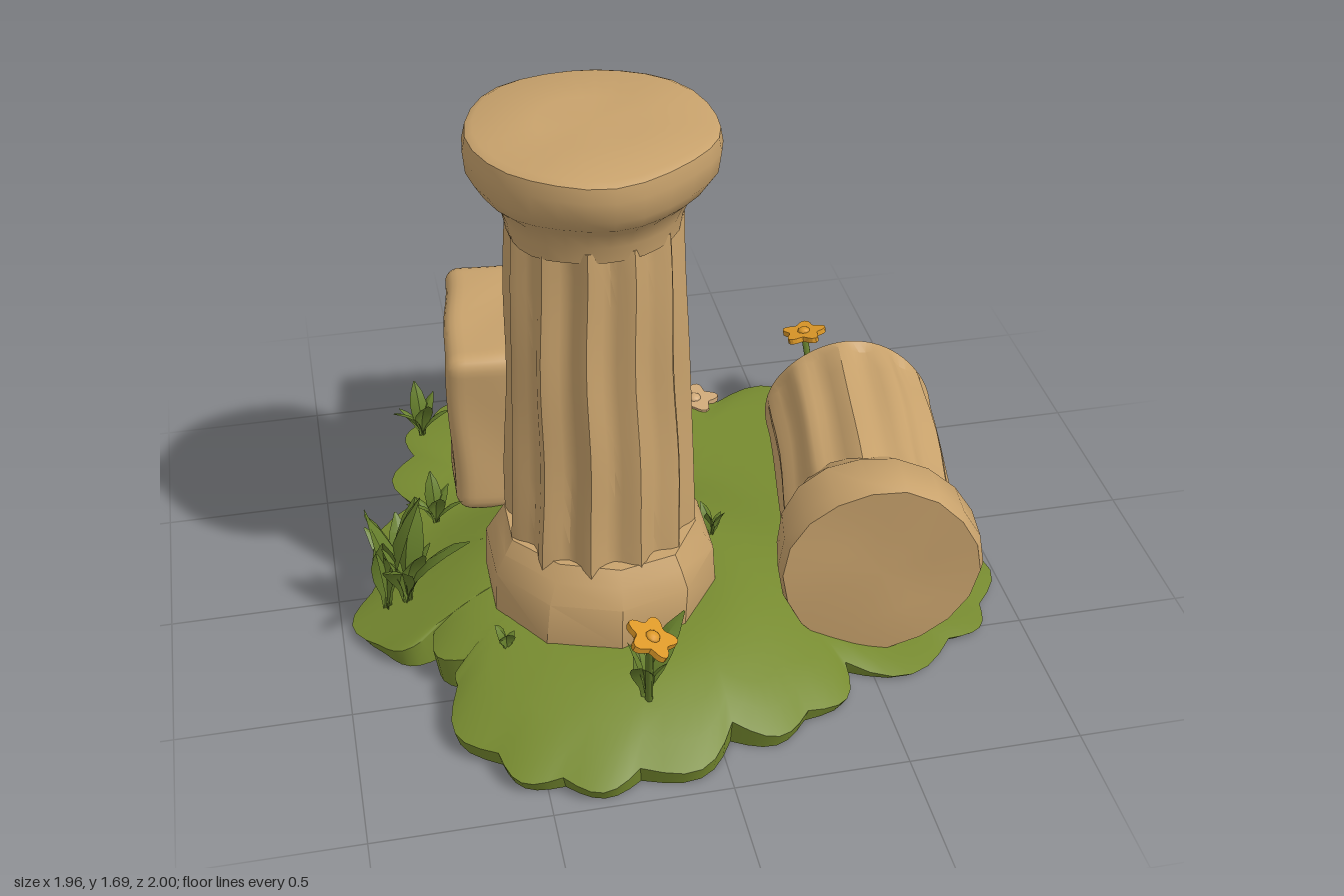
import * as THREE from 'three';
import { mergeGeometries, toCreasedNormals } from 'three/addons/utils/BufferGeometryUtils.js';

const mat = (name, color, side = THREE.FrontSide) => {
  const m = new THREE.MeshStandardMaterial({ color, side });
  m.name = name;
  return m;
};

const smooth = (a, b, v) => {
  const t = Math.min(1, Math.max(0, (v - a) / (b - a)));
  return t * t * (3 - 2 * t);
};

// Mound height: highest under the standing column
const groundY = (x, z) => 0.045 + 0.16 * (1 - smooth(0.3, 0.85, Math.hypot(x + 0.2, z - 0.3)));

// Run a rule over every vertex
function reshape(geo, rule) {
  const p = geo.attributes.position, v = new THREE.Vector3();
  for (let i = 0; i < p.count; i++) {
    rule(v.fromBufferAttribute(p, i));
    p.setXYZ(i, v.x, v.y, v.z);
  }
  return geo;
}

// Worn, hand-carved unevenness
const wobble = (v, amp, k) => {
  const { x, y, z } = v;
  v.x += amp * (Math.sin(9 * y + 7 * z + k) + 0.6 * Math.sin(17 * z - 11 * y + k));
  v.y += amp * (Math.sin(8 * x - 9 * z + 2 * k) + 0.5 * Math.sin(15 * x + 13 * z));
  v.z += amp * (Math.sin(8 * y - 9 * x + 3 * k) + 0.6 * Math.sin(16 * x + 10 * y + k));
};

function mesh(name, geo, material) {
  const m = new THREE.Mesh(geo, material);
  m.name = name;
  return m;
}

// Turned stone: flutes are carved between heights y0 and y1
function turned(name, profile, material, { sides = 72, flutes = 0, depth = 0, y0 = 0, y1 = 0, amp = 0.004, k = 0 }) {
  const geo = new THREE.LatheGeometry(profile.map(([r, y]) => new THREE.Vector2(r, y)), sides);
  reshape(geo, v => {
    if (flutes && v.y > y0 && v.y < y1) {
      const a = Math.atan2(v.x, v.z);
      const s = 1 - depth * Math.pow(0.5 + 0.5 * Math.cos(flutes * a), 0.8);
      v.x *= s;
      v.z *= s;
    }
    wobble(v, amp, k);
  });
  geo.deleteAttribute('uv');
  return mesh(name, toCreasedNormals(geo, 0.6), material);
}

// Scalloped grassy mound, rings from the top centre round to the underside centre
function ground(material) {
  const notches = [[-0.17, -0.93], [0.06, -0.91], [0.2, -0.85], [0.36, -0.78], [0.68, -0.74], [0.81, -0.4],
    [0.92, -0.11], [0.91, 0.12], [0.9, 0.42], [0.76, 0.55], [0.42, 0.62], [0.26, 0.8], [0.03, 0.84],
    [-0.25, 0.94], [-0.46, 0.92], [-0.62, 0.8], [-0.7, 0.55], [-0.66, 0.48], [-0.74, 0.32], [-0.9, 0.27],
    [-0.9, 0.01], [-0.8, -0.04], [-0.73, -0.42], [-0.7, -0.68], [-0.62, -0.88], [-0.45, -0.94]];
  const rim = [];
  notches.forEach(([x, z], i) => {
    const [x2, z2] = notches[(i + 1) % notches.length], dx = x2 - x, dz = z2 - z;
    for (let j = 0; j < 6; j++) {
      const t = j / 6, b = 0.27 * Math.sin(Math.PI * t);
      rim.push([x + dx * t + dz * b, z + dz * t - dx * b]);
    }
  });
  const pos = [], idx = [], n = rim.length, rows = 14;
  for (let r = 0; r <= rows; r++) {
    const s = r <= 12 ? r / 12 : r === 13 ? 0.98 : 0;
    for (const [x, z] of rim) {
      const y = r > 12 ? 0.015 : groundY(x * s, z * s) - (r === 12 ? 0.015 : 0);
      pos.push(x * s, y, z * s);
    }
  }
  for (let r = 0; r < rows; r++) for (let i = 0; i < n; i++) {
    const a = r * n + i, b = r * n + (i + 1) % n, c = b + n, d = a + n;
    if (r > 0) idx.push(a, b, c);
    if (r < rows - 1) idx.push(a, c, d);
  }
  const geo = new THREE.BufferGeometry();
  geo.setAttribute('position', new THREE.Float32BufferAttribute(pos, 3));
  geo.setIndex(idx);
  return mesh('grassMound', toCreasedNormals(geo, 0.7), material);
}

// Rounded block with a sunken panel and round boss on both x sides
function block(material) {
  const h = 0.29, rad = 0.05, inner = h - rad;
  const geo = new THREE.BoxGeometry(2 * h, 2 * h, 2 * h, 28, 28, 28);
  const c = new THREE.Vector3();
  reshape(geo, v => {
    const onSide = Math.abs(v.x) > h - 1e-4;
    const edge = Math.max(Math.abs(v.y), Math.abs(v.z)), d = Math.hypot(v.y, v.z);
    c.copy(v).clampScalar(-inner, inner);
    v.sub(c).setLength(rad).add(c);
    if (onSide) {
      const boss = d < 0.035 ? 0.008 : d < 0.1 ? 0.03 : 0;
      v.x -= Math.sign(v.x) * (0.035 * (1 - smooth(0.18, 0.215, edge)) - boss);
    }
    wobble(v, 0.005, 1);
  });
  geo.deleteAttribute('uv');
  const m = mesh('carvedBlock', toCreasedNormals(geo, 0.6), material);
  m.position.set(-0.29, 0.375, -0.53);
  m.rotation.y = -0.1;
  return m;
}

// Folded paddle leaf that leans outward
function leaf(len, width, lean, yaw) {
  const pos = [], idx = [];
  const widths = [0.3, 0.45, 0.9, 1, 0.7, 0.08];
  widths.forEach((w, i) => {
    const t = i / 5, out = lean * len * (0.4 * t + 0.6 * t * t), up = len * t * (1 - 0.35 * lean * t);
    for (const s of [-1, 0, 1]) pos.push(s * w * width / 2, up, out - (s ? 0 : 0.2 * w * width));
    if (i) for (const j of [0, 1]) {
      const a = 3 * (i - 1) + j;
      idx.push(a, a + 1, a + 4, a, a + 4, a + 3);
    }
  });
  const geo = new THREE.BufferGeometry();
  geo.setAttribute('position', new THREE.Float32BufferAttribute(pos, 3));
  geo.setIndex(idx);
  return toCreasedNormals(geo.rotateY(yaw), 0.5);
}

function tuft(name, [x, z, count, len, width, lean, turn = 0], material) {
  const leaves = [];
  for (let i = 0; i < count; i++) {
    const vary = 0.8 + 0.2 * Math.sin(i * 2.4 + 1 + x * 9);
    leaves.push(leaf(len * vary, width * vary, lean * (0.75 + 0.35 * Math.sin(i * 1.7)), turn + i * 2 * Math.PI / count));
  }
  const m = mesh(name, mergeGeometries(leaves), material);
  m.position.set(x, groundY(x, z) - 0.01, z);
  return m;
}

// Five-petalled bloom, with a stem if a root is given
function flower(root, head, size, tilt, petalMat, centreMat, stemMat) {
  const g = new THREE.Group();
  g.name = 'flower';
  const pts = [];
  for (let i = 0; i < 40; i++) {
    const a = i * Math.PI / 20, r = size * (0.82 + 0.18 * Math.cos(5 * a));
    pts.push(new THREE.Vector2(r * Math.cos(a), r * Math.sin(a)));
  }
  const petals = new THREE.ExtrudeGeometry(new THREE.Shape(pts), { depth: 0.018, bevelEnabled: false });
  const bloom = new THREE.Group();
  bloom.name = 'bloom';
  bloom.add(mesh('petals', petals.rotateX(-Math.PI / 2), petalMat));
  const centre = mesh('flowerCentre', new THREE.SphereGeometry(size * 0.28, 10, 6), centreMat);
  centre.position.y = 0.018;
  centre.scale.y = 0.6;
  bloom.add(centre);
  bloom.position.set(...head);
  bloom.rotation.set(tilt[0], 0, tilt[1]);
  g.add(bloom);
  if (root) {
    const a = new THREE.Vector3(...root), b = new THREE.Vector3(...head);
    const mid = a.clone().lerp(b, 0.5).add(new THREE.Vector3(0, 0.03, 0));
    g.add(mesh('stem', new THREE.TubeGeometry(new THREE.QuadraticBezierCurve3(a, mid, b), 8, 0.011, 6), stemMat));
  }
  return g;
}

export function createModel() {
  const model = new THREE.Group();
  model.name = 'ruins';
  const stone = mat('stone', 0xc8a26c), grass = mat('grass', 0x778b30);
  const leafMat = mat('leaf', 0x667f2c, THREE.DoubleSide);
  const orange = mat('orangePetal', 0xdc9828), peach = mat('peachPetal', 0xd2ab7a);

  model.add(ground(grass), block(stone));

  // Standing column
  const column = new THREE.Group();
  column.name = 'standingColumn';
  column.position.set(-0.23, 0, 0.245);
  const shaft = [[0, 0.38]];
  for (let i = 0; i <= 12; i++) shaft.push([0.278 - 0.038 * i / 12, 0.4 + 1.04 * i / 12]);
  shaft.push([0, 1.46]);
  column.add(
    turned('columnBase', [[0, 0.12], [0.325, 0.12], [0.342, 0.2], [0.335, 0.33], [0.305, 0.385], [0.28, 0.43], [0, 0.44]],
      stone, { sides: 10, amp: 0.006, k: 2 }),
    turned('columnShaft', shaft, stone, { flutes: 12, depth: 0.13, y0: 0.39, y1: 1.445, amp: 0.003 }),
    turned('columnCapital', [[0, 1.4], [0.235, 1.41], [0.243, 1.46], [0.262, 1.51], [0.305, 1.55], [0.33, 1.59],
      [0.337, 1.65], [0.33, 1.69], [0.31, 1.7], [0.15, 1.7], [0, 1.7]], stone, { sides: 28, amp: 0.005, k: 4 }));
  model.add(column);

  // Fallen drum lying on its side
  const drum = new THREE.Group();
  drum.name = 'fallenColumn';
  drum.position.set(0.595, 0.33, 0.148);
  drum.quaternion.setFromUnitVectors(new THREE.Vector3(0, 1, 0), new THREE.Vector3(-0.135, 0, 0.835).normalize());
  const body = [[0, -0.425], [0.12, -0.425], [0.235, -0.42], [0.262, -0.39]];
  for (let i = 0; i <= 6; i++) body.push([0.264, -0.36 + 0.1 * i]);
  body.push([0, 0.26]);
  drum.add(
    turned('drumShaft', body, stone, { flutes: 11, depth: 0.09, y0: -0.38, y1: 0.25, k: 3 }),
    turned('drumCollar', [[0, 0.18], [0.25, 0.19], [0.27, 0.23], [0.292, 0.26], [0.298, 0.38], [0.285, 0.42],
      [0.15, 0.426], [0, 0.426]], stone, { sides: 18, amp: 0.005, k: 5 }));
  model.add(drum);

  // Bushes and tufts: x, z, leaf count, length, width, lean, turn
  model.add(tuft('bush', [-0.8, 0.14, 9, 0.38, 0.1, 0.55, 0.4], leafMat));
  model.add(tuft('bushCore', [-0.86, 0.13, 4, 0.45, 0.11, 0.25], leafMat));
  for (const t of [
    [-0.2, 0.76, 5, 0.28, 0.075, 0.5, 0.9], [0.66, -0.57, 5, 0.24, 0.07, 0.5, 0.3],
    [-0.66, -0.78, 6, 0.22, 0.06, 0.6, 0.2], [-0.15, -0.85, 5, 0.24, 0.06, 0.5, 0.5],
    [0.12, -0.62, 3, 0.14, 0.05, 0.6, 0.8], [-0.67, -0.27, 6, 0.2, 0.055, 0.6, 0.1],
    [0.08, -0.28, 5, 0.17, 0.05, 0.7, 0.4], [-0.32, -0.11, 3, 0.13, 0.05, 0.4, 0.2],
    [0.13, 0.13, 4, 0.14, 0.045, 0.5, 0.7], [-0.55, 0.5, 3, 0.1, 0.05, 0.5, 0.1],
    [0.89, 0.27, 4, 0.1, 0.05, 0.5, 0.3], [0.15, -0.77, 3, 0.12, 0.045, 0.4, 0.6],
  ]) model.add(tuft('grassTuft', t, leafMat));

  model.add(
    flower([-0.19, 0.14, 0.76], [-0.21, 0.48, 0.88], 0.075, [0.15, -0.4], orange, orange, leafMat),
    flower([0.66, 0.04, -0.57], [0.63, 0.34, -0.67], 0.075, [-0.15, 0.1], orange, orange, leafMat),
    flower([0.15, 0.04, -0.75], [0.15, 0.22, -0.81], 0.07, [-0.15, -0.3], peach, orange, leafMat),
    flower(null, [0.28, 0.035, -0.79], 0.085, [0, 0], peach, peach, leafMat));
  return model;
}
